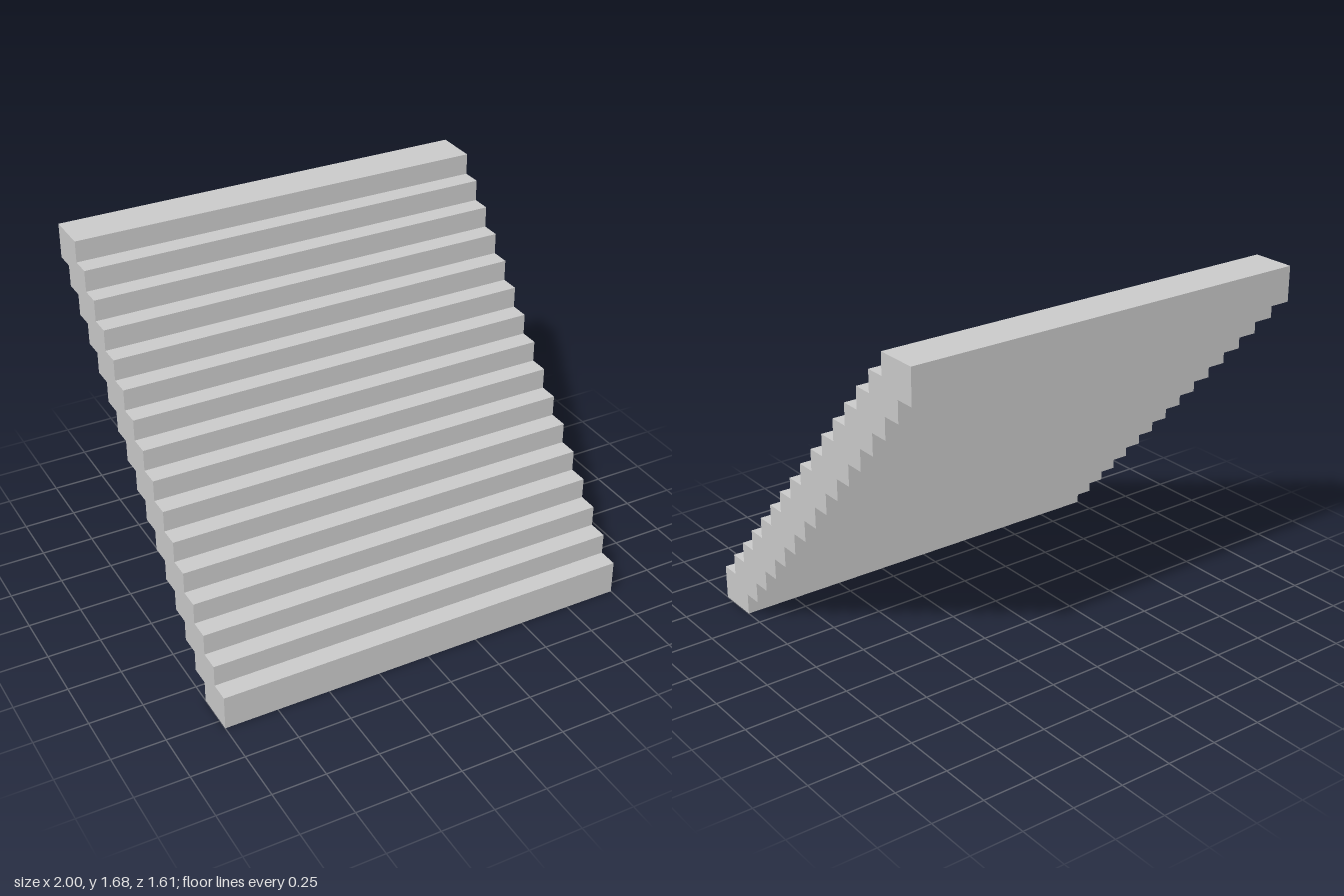
import * as THREE from 'three';

const STEPS = 16;
const WIDTH = 2;
const RISE = 0.1013, RUN = 0.0936;            // offset from one step to the next
const STEP_HEIGHT = 0.165, STEP_DEPTH = 0.202; // size of each overlapping step block

export function createModel() {
  const group = new THREE.Group();
  group.name = 'staircase';
  const halfDepth = ((STEPS - 1) * RUN + STEP_DEPTH) / 2;

  const front = i => halfDepth - i * RUN;
  const back = i => front(i) - STEP_DEPTH;
  const bottom = i => i * RISE;
  const top = i => bottom(i) + STEP_HEIGHT;

  // Side outline (z, y): up the treads, then down the stepped underside
  const outline = [];
  for (let i = 0; i < STEPS; i++) {
    outline.push(new THREE.Vector2(front(i), i ? top(i - 1) : 0));
    outline.push(new THREE.Vector2(front(i), top(i)));
  }
  for (let i = STEPS - 1; i >= 0; i--) {
    outline.push(new THREE.Vector2(back(i), i === STEPS - 1 ? top(i) : bottom(i + 1)));
    outline.push(new THREE.Vector2(back(i), bottom(i)));
  }

  // Sweep the outline across the full width
  const geometry = new THREE.ExtrudeGeometry(new THREE.Shape(outline), {
    depth: WIDTH, bevelEnabled: false,
  });
  geometry.translate(0, 0, -WIDTH / 2);
  geometry.rotateY(-Math.PI / 2);

  const flight = new THREE.Mesh(
    geometry,
    new THREE.MeshStandardMaterial({ color: 0xcccccc, flatShading: true }),
  );
  flight.name = 'stairFlight';
  group.add(flight);
  return group;
}
